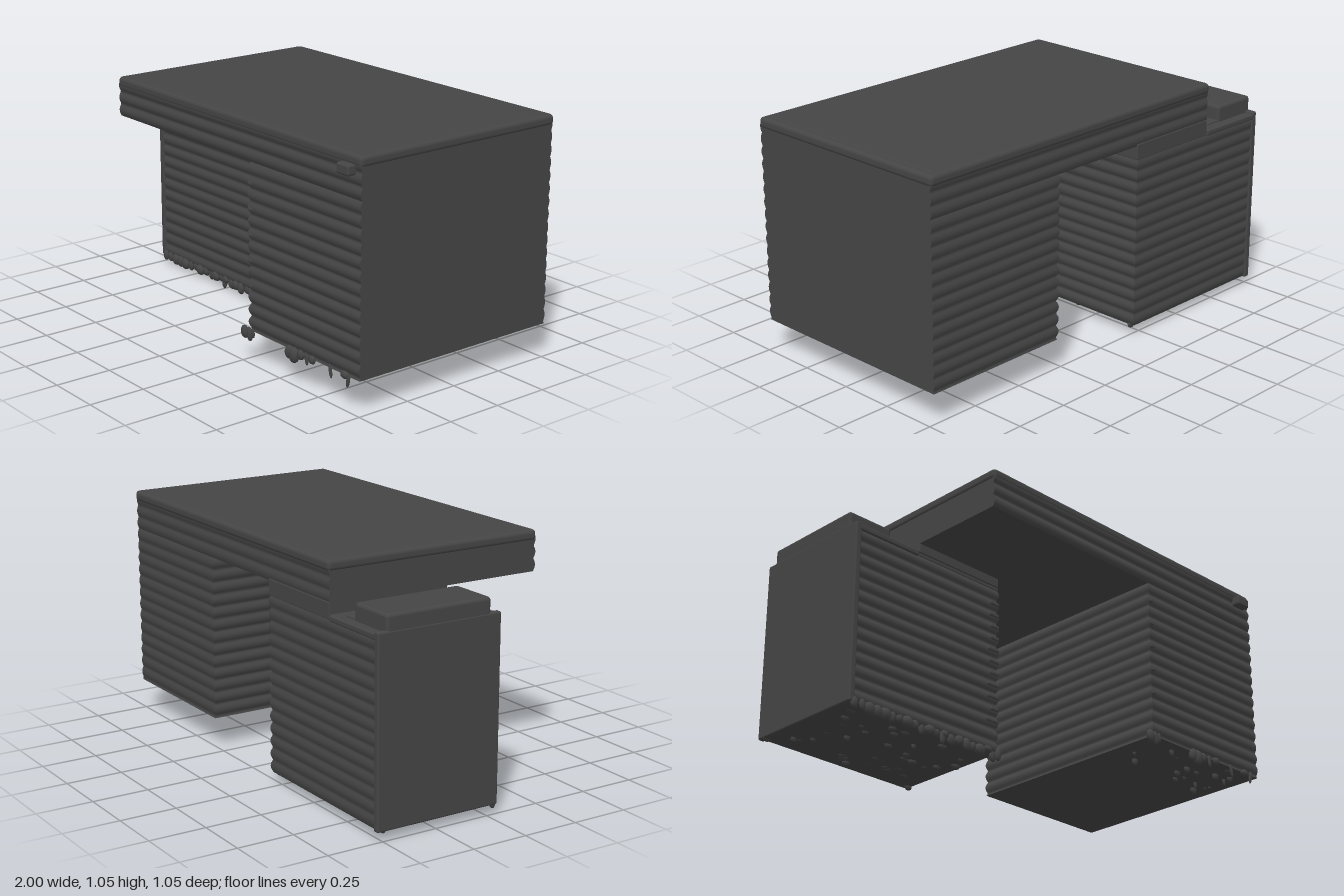
import * as THREE from 'three';
import { RoundedBoxGeometry } from 'three/addons/geometries/RoundedBoxGeometry.js';

const PITCH = 0.055; // height of one corrugation

export function createModel() {
  const model = new THREE.Group();
  model.name = 'corrugatedDesk';
  const charcoal = new THREE.MeshStandardMaterial({ color: 0x454545 });
  charcoal.name = 'charcoal';

  let seed = 7;
  const rand = () => (seed = (seed * 16807) % 2147483647) / 2147483647;

  function add(name, geometry, parent = model) {
    const mesh = new THREE.Mesh(geometry, charcoal);
    mesh.name = name;
    parent.add(mesh);
    return mesh;
  }

  // Box given by its limits, with rounded edges
  function rounded(name, [x0, x1], [y0, y1], [z0, z1], r, parent) {
    const mesh = add(name, new RoundedBoxGeometry(x1 - x0, y1 - y0, z1 - z0, 3, r), parent);
    mesh.position.set((x0 + x1) / 2, (y0 + y1) / 2, (z0 + z1) / 2);
    return mesh;
  }

  // Box whose front, back and chosen sides ripple up the wall
  function corrugated(name, [x0, x1], [y0, y1], [z0, z1], rippleLeft, rippleRight) {
    const rows = Math.ceil((y1 - y0) / PITCH) * 8;
    const g = new THREE.BoxGeometry(x1 - x0, y1 - y0, z1 - z0, 1, rows, 1);
    g.translate((x0 + x1) / 2, (y0 + y1) / 2, (z0 + z1) / 2);
    const p = g.attributes.position;
    for (let i = 0; i < p.count; i++) {
      const d = 0.01 * (1 - Math.abs(Math.sin(Math.PI * (p.getY(i) - 0.87) / PITCH)));
      const front = p.getZ(i) > (z0 + z1) / 2;
      const left = p.getX(i) > (x0 + x1) / 2;
      p.setZ(i, p.getZ(i) + (front ? -d : d * 0.7));
      if (left && rippleLeft) p.setX(i, p.getX(i) - d);
      if (!left && rippleRight) p.setX(i, p.getX(i) + d);
    }
    g.computeVertexNormals();
    return add(name, g);
  }

  // Main body: two pedestals bridged by a deep top
  corrugated('leftPedestal', [0.285, 0.99], [0.145, 0.87], [-0.52, 0.495], false, true);
  corrugated('rightPedestal', [-0.99, -0.19], [0.045, 0.83], [-0.52, 0.05], true, false);
  corrugated('topApron', [-0.65, 0.99], [0.87, 1.02], [-0.52, 0.495], false, false);
  rounded('desktop', [-0.655, 0.995], [1.0, 1.048], [-0.526, 0.497], 0.018);
  rounded('desktopField', [-0.62, 0.96], [1.03, 1.05], [-0.49, 0.46], 0.004);
  rounded('pedestalNeck', [-0.65, -0.19], [0.81, 0.88], [-0.52, 0.045], 0.004);

  // Right pedestal trim and the raised box on its top
  rounded('sidePanel', [-1.0, -0.97], [0.04, 0.84], [-0.525, 0.053], 0.008);
  rounded('pedestalRim', [-1.0, -0.655], [0.805, 0.832], [-0.525, 0.053], 0.008);
  rounded('raisedBox', [-0.998, -0.775], [0.82, 0.905], [-0.485, 0.005], 0.015);
  rounded('raisedBoxLip', [-0.96, -0.71], [0.825, 0.84], [-0.48, 0.01], 0.005);

  // Small latch at the upper corner of the front
  rounded('latch', [0.88, 0.955], [0.965, 1.01], [0.48, 0.528], 0.01);

  // Short ribs along the inner front edge of each pedestal
  const ribs = new THREE.Group();
  ribs.name = 'edgeRibs';
  model.add(ribs);
  for (let i = 0; i < 11; i++) {
    const y = 0.18 + i * PITCH;
    rounded('longRib', [-0.265 + rand() * 0.03, -0.19], [y, y + 0.018], [0.03, 0.055], 0.006, ribs);
    if (i % 2) rounded('shortRib', [0.287, 0.312], [y + 0.1, y + 0.115], [0.48, 0.498], 0.005, ribs);
  }

  // Ragged drips hanging from the bottoms
  const drips = new THREE.Group();
  drips.name = 'raggedDrips';
  model.add(drips);
  function drip(x, top, z, length, width) {
    const g = new THREE.SphereGeometry(1, 8, 6);
    const mesh = add('drip', g, drips);
    mesh.scale.set(width, length / 2 + 0.006, width * 0.6);
    mesh.position.set(x, top - length / 2 + 0.006, z);
    mesh.rotation.z = (rand() - 0.5) * 0.5;
  }

  // Front rim of the right pedestal
  for (let i = 0; i < 20; i++) {
    const x = -0.97 + i * 0.04;
    drip(x, 0.055, 0.035 + rand() * 0.02, 0.015 + 0.03 * rand(), 0.015 + 0.018 * rand());
  }
  drip(-0.2, 0.06, 0.06, 0.05, 0.018);
  drip(-0.5, 0.05, 0.045, 0.048, 0.015);
  drip(-0.98, 0.05, -0.49, 0.02, 0.02);
  drip(-0.21, 0.05, -0.49, 0.022, 0.02);

  // Front rim of the left pedestal
  for (const [x, length, width] of [
    [0.265, 0.045, 0.024], [0.295, 0.05, 0.018], [0.32, 0.03, 0.009], [0.55, 0.05, 0.025],
    [0.58, 0.06, 0.03], [0.62, 0.035, 0.022], [0.66, 0.045, 0.01], [0.7, 0.025, 0.02],
    [0.81, 0.05, 0.009], [0.9, 0.022, 0.025], [0.93, 0.05, 0.01],
  ]) drip(x, 0.15, 0.485 + rand() * 0.015, length, width);

  // Loose lumps scattered over both undersides
  for (let i = 0; i < 36; i++) {
    drip(-0.93 + rand() * 0.7, 0.048, -0.46 + rand() * 0.47, 0.008 + rand() * 0.016, 0.012 + rand() * 0.012);
    if (i % 2) drip(0.33 + rand() * 0.62, 0.148, 0.2 + rand() * 0.26, 0.01 + rand() * 0.025, 0.01 + rand() * 0.01);
  }

  return model;
}
